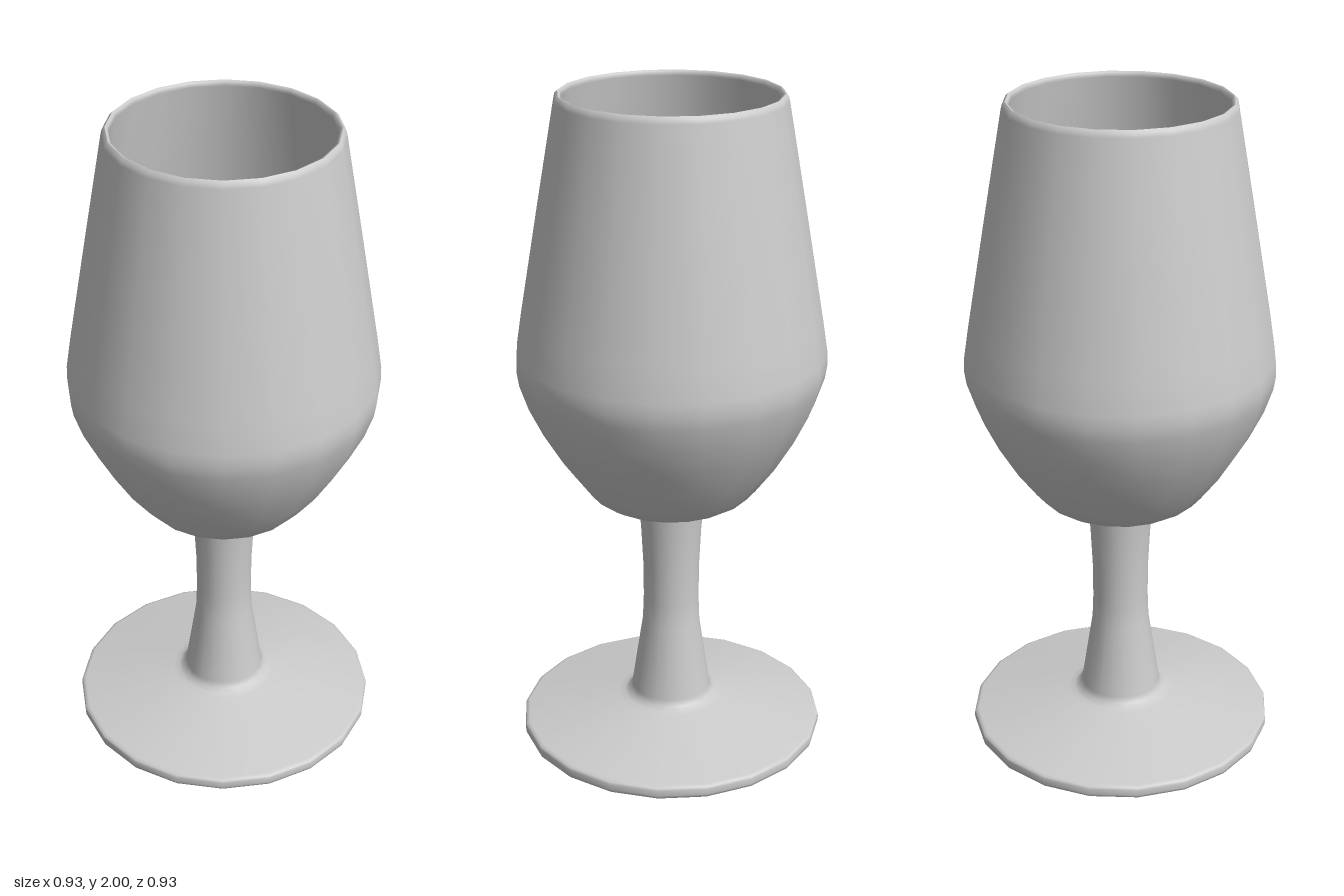
import * as THREE from 'three';

const SIDES = 20;

export function createModel() {
  const goblet = new THREE.Group();
  goblet.name = 'goblet';
  const material = new THREE.MeshStandardMaterial({ color: 0xcccccc });

  // Turns a profile of [radius, height] points around the y axis
  function turn(name, profile) {
    const points = profile.map(([r, y]) => new THREE.Vector2(r, y));
    const mesh = new THREE.Mesh(new THREE.LatheGeometry(points, SIDES), material);
    mesh.name = name;
    goblet.add(mesh);
  }

  // Flat underside of the foot
  turn('footUnderside', [[0, 0], [0.455, 0]]);

  // Rounded foot rim, sloping top and waisted stem
  turn('footAndStem', [
    [0.455, 0], [0.463, 0.006], [0.466, 0.015], [0.466, 0.032], [0.463, 0.039], [0.453, 0.044],
    [0.165, 0.101], [0.145, 0.105], [0.13, 0.115], [0.122, 0.133],
    [0.088, 0.36], [0.085, 0.44], [0.086, 0.55], [0.092, 0.67], [0.1, 0.765],
  ]);

  // Outside of the bowl
  turn('bowlOutside', [
    [0.095, 0.762], [0.19, 0.78], [0.212, 0.786], [0.242, 0.805], [0.27, 0.838],
    [0.327, 0.915], [0.384, 1.01], [0.425, 1.095], [0.45, 1.17], [0.456, 1.21],
    [0.455, 1.25], [0.44, 1.345], [0.385, 1.66], [0.328, 1.98],
    [0.325, 1.992], [0.317, 2],
  ]);

  // Rounded lip and inside of the bowl
  turn('bowlInside', [
    [0.317, 2], [0.31, 1.997], [0.307, 1.985], [0.366, 1.66], [0.42, 1.345],
    [0.436, 1.245], [0.432, 1.18], [0.407, 1.1], [0.367, 1.02], [0.31, 0.925],
    [0.255, 0.85], [0.23, 0.822], [0.195, 0.805], [0.1, 0.79], [0, 0.785],
  ]);

  return goblet;
}
